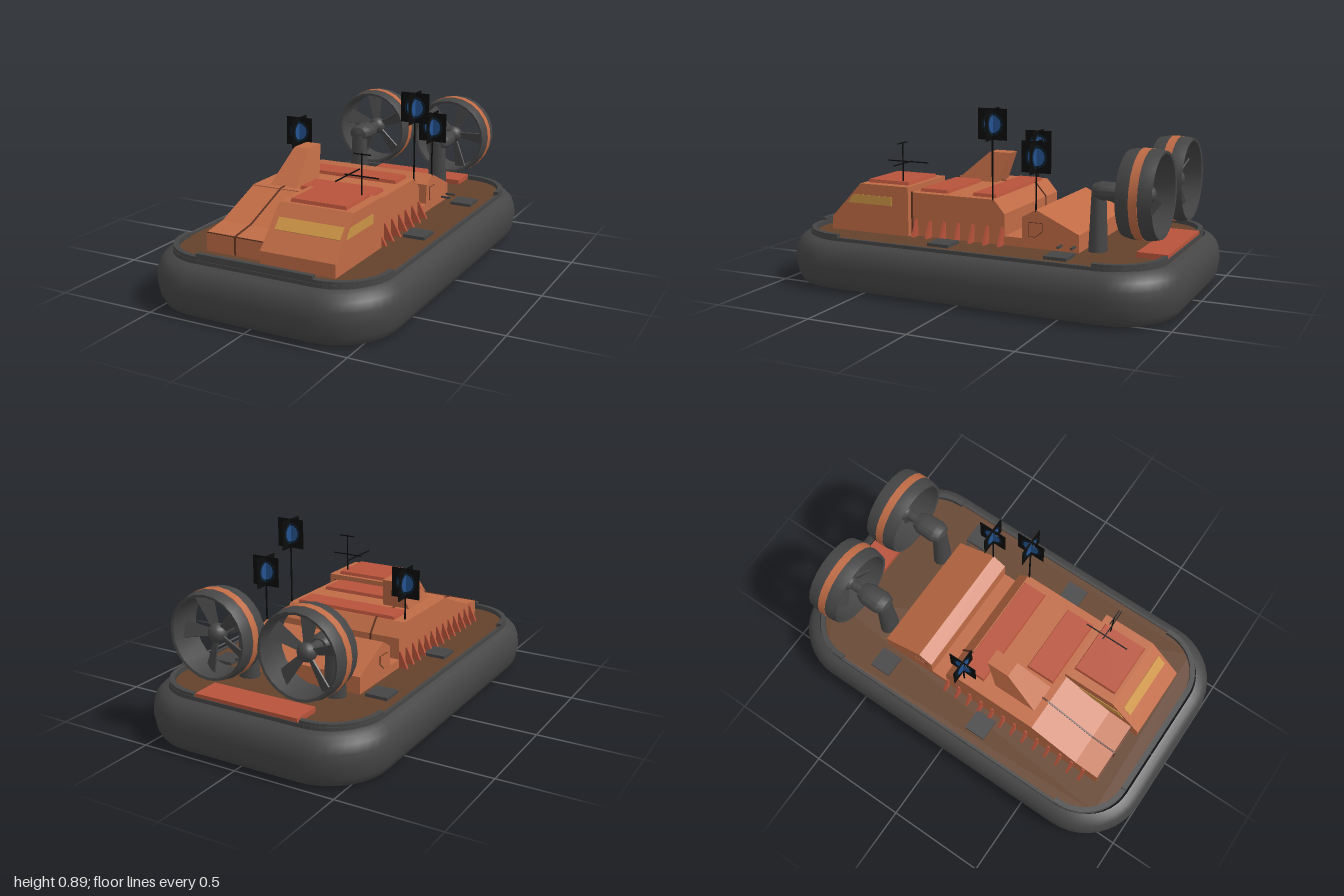
import * as THREE from 'three';
import { toCreasedNormals } from 'three/addons/utils/BufferGeometryUtils.js';

const mat = (name, color, side = THREE.FrontSide) => {
  const m = new THREE.MeshStandardMaterial({ color, side });
  m.name = name;
  return m;
};

export function createModel() {
  const rubber = mat('dark rubber', 0x454545), deckBrown = mat('deck brown', 0x64422b);
  const orange = mat('hull orange', 0xbf6b45), red = mat('hatch red', 0xb8533b);
  const amber = mat('window amber', 0xcb9345), black = mat('black', 0x0b0b0b);
  const navy = mat('lamp rim navy', 0x0c1d2a), blue = mat('lamp blue', 0x24528f);
  const seam = mat('seam brown', 0x5e3322);

  const model = new THREE.Group();
  const add = (name, geo, material, parent = model) => {
    const m = new THREE.Mesh(geo, material);
    m.name = name;
    parent.add(m);
    return m;
  };
  const box = (name, material, x0, x1, y0, y1, z0, z1, parent) =>
    add(name, new THREE.BoxGeometry(x1 - x0, y1 - y0, z1 - z0)
      .translate((x0 + x1) / 2, (y0 + y1) / 2, (z0 + z1) / 2), material, parent);
  // side profile of [z, y] points, extruded from x0 to x1
  const prism = (name, material, pts, x0, x1) => {
    const s = new THREE.Shape(pts.map(p => new THREE.Vector2(p[0], p[1])));
    return add(name, new THREE.ExtrudeGeometry(s, { depth: x1 - x0, bevelEnabled: false })
      .rotateY(-Math.PI / 2).translate(x1, 0, 0), material);
  };
  // tapered block: bottom and top rectangles given as [x0, x1, z0, z1]
  const taper = (b, t, y0, y1) => {
    const g = new THREE.BoxGeometry(1, 1, 1), p = g.attributes.position;
    for (let i = 0; i < p.count; i++) {
      const r = p.getY(i) > 0 ? t : b;
      p.setXYZ(i, r[p.getX(i) > 0 ? 1 : 0], p.getY(i) > 0 ? y1 : y0, r[p.getZ(i) > 0 ? 3 : 2]);
    }
    g.computeVertexNormals();
    return g;
  };
  // rounded rectangle loop as [x, z] points, from +z towards +x
  const loop = (hx, hz, r, n = 10) => {
    const pts = [];
    for (let q = 0; q < 4; q++) {
      const cx = (q < 2 ? 1 : -1) * (hx - r), cz = (q === 0 || q === 3 ? 1 : -1) * (hz - r);
      for (let i = 0; i <= n; i++) {
        const a = (q + i / n) * Math.PI / 2;
        pts.push([cx + r * Math.sin(a), cz + r * Math.cos(a)]);
      }
    }
    return pts;
  };
  const slab = (pts, y0, y1, hole) => {
    const s = new THREE.Shape(pts.map(p => new THREE.Vector2(p[0], -p[1])));
    if (hole) s.holes.push(new THREE.Path(hole.map(p => new THREE.Vector2(p[0], -p[1]))));
    return new THREE.ExtrudeGeometry(s, { depth: y1 - y0, bevelEnabled: false })
      .rotateX(-Math.PI / 2).translate(0, y0, 0);
  };

  // inflated skirt, lofted from rounded rectangles given as [inset, y]
  const rings = [[0.065, 0], [0.032, 0.012], [0.012, 0.05], [0, 0.12], [0.004, 0.165],
    [0.018, 0.205], [0.042, 0.23], [0.075, 0.242]];
  const pos = [], idx = [], n = loop(1, 1, 0.3).length;
  for (const [d, y] of rings)
    for (const [x, z] of loop(0.61 - d, 1 - d, 0.31 - d)) pos.push(x, y, z);
  for (let j = 0; j < rings.length - 1; j++)
    for (let i = 0; i < n; i++) {
      const a = j * n + i, b = j * n + (i + 1) % n;
      idx.push(a, b, b + n, a, b + n, a + n);
    }
  pos.push(0, 0, 0);
  for (let i = 0; i < n; i++) idx.push(rings.length * n, (i + 1) % n, i);
  const skirt = new THREE.BufferGeometry();
  skirt.setAttribute('position', new THREE.Float32BufferAttribute(pos, 3));
  skirt.setIndex(idx);
  skirt.computeVertexNormals();
  add('skirt', toCreasedNormals(skirt, 0.75), rubber);

  // deck and its rim
  add('deck', slab(loop(0.54, 0.91, 0.24), 0.22, 0.247), deckBrown);
  add('deckRim', slab(loop(0.545, 0.915, 0.245), 0.235, 0.255, loop(0.53, 0.9, 0.23)), rubber);
  for (const sx of [1, -1]) for (const sz of [1, -1]) {
    const arc = (hx, hz, r) => [[0.28, hz], ...loop(hx, hz, r).slice(0, 11), [hx, 0.65]];
    const pts = [...arc(0.543, 0.913, 0.243), ...arc(0.518, 0.888, 0.218).reverse()];
    add('cornerGuard', slab(pts.map(p => [p[0] * sx, p[1] * sz]), 0.24, 0.27), rubber);
  }
  box('bowGuard', rubber, -0.3, 0.29, 0.24, 0.285, 0.888, 0.912);
  box('sternRamp', red, -0.27, 0.27, 0.245, 0.272, -0.91, -0.765);
  for (const s of [1, -1]) for (const z of [-0.455, 0.135])
    box('deckPad', rubber, s * 0.425 - 0.055, s * 0.425 + 0.055, 0.245, 0.262, z - 0.055, z + 0.055);

  // superstructure
  prism('mainBody', orange, [[0.38, 0.24], [0.38, 0.46], [-0.075, 0.46], [-0.13, 0.395], [-0.13, 0.24]], -0.34, 0.31);
  prism('bowRamp', orange, [[0.77, 0.24], [0.77, 0.335], [0.64, 0.355], [0.37, 0.46], [0.37, 0.24]], -0.34, -0.02);
  prism('cabin', orange, [[0.81, 0.24], [0.81, 0.31], [0.64, 0.49], [0.37, 0.49], [0.37, 0.24]], -0.03, 0.345);
  box('walkway', orange, -0.34, 0.31, 0.24, 0.29, -0.23, -0.12);
  prism('rearBlock', orange, [[-0.22, 0.24], [-0.22, 0.39], [-0.29, 0.43], [-0.505, 0.33], [-0.505, 0.24]], -0.34, 0.31);
  add('funnel', taper([-0.265, -0.118, 0.12, 0.35], [-0.23, -0.15, 0.05, 0.168], 0.455, 0.612), orange);
  prism('bodySeam', seam, [[0.774, 0.25], [0.774, 0.339], [0.64, 0.359], [0.37, 0.464], [-0.077, 0.464],
    [-0.134, 0.397], [-0.134, 0.25]], -0.19, -0.182);
  box('bowSeam', seam, -0.34, -0.03, 0.334, 0.338, 0.767, 0.772);
  box('sideSeam', seam, 0.31, 0.316, 0.25, 0.465, 0.362, 0.374);
  for (const x of [0.312, -0.342]) {
    prism('doorFrame', seam, [[-0.255, 0.3], [-0.255, 0.37], [-0.325, 0.37], [-0.325, 0.33], [-0.29, 0.3]], x - 0.002, x);
    prism('doorPanel', orange, [[-0.258, 0.303], [-0.258, 0.367], [-0.322, 0.367], [-0.322, 0.332], [-0.29, 0.303]], x - 0.004, x + 0.002);
  }

  // raised hatches
  const hatch = (x0, x1, y, z0, z1) => add('hatch',
    taper([x0, x1, z0, z1], [x0 + 0.006, x1 - 0.006, z0 + 0.006, z1 - 0.006], y - 0.005, y + 0.016), red);
  hatch(-0.28, 0.27, 0.46, -0.07, 0.06);
  hatch(-0.1, 0.27, 0.46, 0.19, 0.345);
  hatch(0.015, 0.3, 0.49, 0.39, 0.625);

  // cabin windows
  prism('frontWindow', amber, [[0.7345, 0.39], [0.737, 0.393], [0.6935, 0.438], [0.691, 0.436]], 0, 0.325);
  for (const x of [0.342, -0.033])
    prism('sideWindow', amber, [[0.715, 0.39], [0.68, 0.434], [0.46, 0.434], [0.46, 0.39]], x, x + 0.006);

  // buttress ribs down both flanks
  for (let i = 0; i < 7; i++) {
    const z = -0.12 + i * 0.077;
    add('rib', taper([0.3, 0.36, z - 0.007, z + 0.007], [0.3, 0.315, z - 0.007, z + 0.007], 0.245, 0.33), red);
  }
  for (let i = 0; i < 13; i++) {
    const z = -0.12 + i * 0.0675;
    add('rib', taper([-0.385, -0.33, z - 0.007, z + 0.007], [-0.345, -0.33, z - 0.007, z + 0.007], 0.245, 0.33), red);
  }
  for (const z of [-0.485, -0.42]) box('cleat', rubber, 0.31, 0.36, 0.27, 0.28, z - 0.005, z + 0.005);

  // ducted propellers on pylons
  const lathe = (pts, seg) => toCreasedNormals(new THREE.LatheGeometry(
    pts.map(p => new THREE.Vector2(p[0], p[1])), seg).rotateX(Math.PI / 2), 0.5);
  for (const [x, start] of [[-0.247, 23], [0.223, -4]]) {
    const fan = new THREE.Group();
    fan.name = 'propeller';
    fan.position.set(x, 0.528, -0.79);
    model.add(fan);
    add('duct', lathe([[0.186, -0.08], [0.198, -0.083], [0.206, -0.045], [0.207, 0], [0.206, 0.045],
      [0.198, 0.083], [0.186, 0.08], [0.186, -0.08]], 24), rubber, fan);
    add('ductBand', lathe([[0.2, -0.02], [0.2085, -0.02], [0.2085, 0.02], [0.2, 0.02]], 24), orange, fan);
    for (let i = 0; i < 5; i++) {
      const blade = add('blade', taper([-0.015, 0.015, -0.004, 0.004], [-0.042, 0.042, -0.003, 0.003], 0.02, 0.188)
        .rotateY(0.5), rubber, fan);
      blade.rotation.z = (start + i * 72 - 90) * Math.PI / 180;
    }
    add('hub', new THREE.SphereGeometry(0.045, 16, 10), rubber, fan);
    add('shaft', new THREE.CylinderGeometry(0.026, 0.026, 0.2, 12).rotateX(Math.PI / 2).translate(0, 0, 0.1), rubber, fan);
    add('gearPod', lathe([[0, 0.09], [0.03, 0.09], [0.042, 0.125], [0.044, 0.21], [0.034, 0.245], [0, 0.26]], 14)
      .scale(1.4, 1, 1), rubber, fan);
    add('pylon', new THREE.CylinderGeometry(0.033, 0.044, 0.28, 12).scale(1.25, 1, 1)
      .translate(0, -0.145, 0.225), rubber, fan);
  }

  // beacon lamps: crossed plates on thin masts
  for (const [x, y, z, foot] of [[-0.318, 0.64, -0.03, 0.45], [0.307, 0.815, -0.068, 0.45], [0.307, 0.675, -0.29, 0.42]]) {
    const lamp = new THREE.Group();
    lamp.name = 'beacon';
    lamp.position.set(x, y, z);
    model.add(lamp);
    box('mast', black, -0.003, 0.003, foot - y, -0.07, -0.003, 0.003, lamp);
    for (const a of [0, Math.PI / 2]) {
      const disc = (r, t) => new THREE.CylinderGeometry(r, r, t, 20).rotateX(Math.PI / 2).rotateY(a);
      add('lampPlate', new THREE.BoxGeometry(0.147, 0.147, 0.002).rotateY(a), black, lamp);
      add('lampRim', disc(0.054, 0.004), navy, lamp);
      add('lampDisc', disc(0.042, 0.006), blue, lamp);
    }
  }

  // roof antenna
  const t = 0.0025;
  box('antennaMast', black, 0.275 - t, 0.275 + t, 0.49, 0.7, 0.435 - t, 0.435 + t);
  box('antennaBar', black, 0.19, 0.36, 0.593 - t, 0.593 + t, 0.435 - t, 0.435 + t);
  box('antennaTip', black, 0.235, 0.32, 0.695 - t, 0.695 + t, 0.435 - t, 0.435 + t);
  box('antennaCross', black, 0.21 - t, 0.21 + t, 0.593 - t, 0.593 + t, 0.33, 0.56);
  return model;
}
